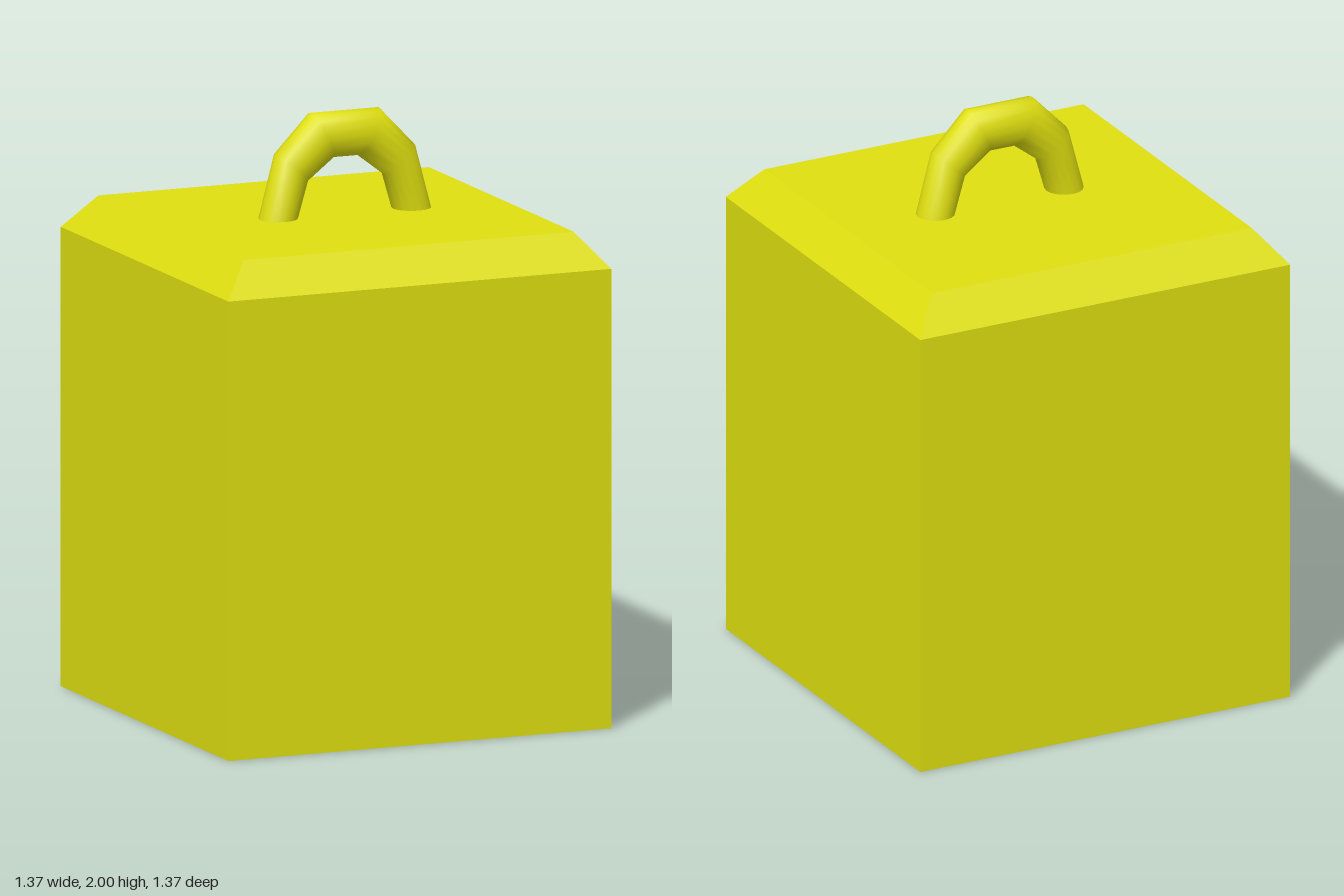
import * as THREE from 'three';

const HALF = 0.687, TOP_HALF = 0.593, SHOULDER = 1.54, TOP = 1.655;

// Four-sided block with vertical or sloping walls
function squareBlock(name, topHalf, bottomHalf, y0, y1, material, open) {
  const r = Math.SQRT2;
  const geo = new THREE.CylinderGeometry(topHalf * r, bottomHalf * r, y1 - y0, 4, 1, open);
  geo.rotateY(Math.PI / 4);
  const flat = geo.toNonIndexed();
  flat.computeVertexNormals();
  const mesh = new THREE.Mesh(flat, material);
  mesh.position.y = (y0 + y1) / 2;
  mesh.name = name;
  return mesh;
}

// Handle tube: mitred rings, each given by its outer and inner point
function handleGeometry(sides = 16) {
  const cx = 0.031, depth = 0.065;
  const half = [ // outer x, y, inner x, y
    [0.308, 1.64, 0.178, 1.64],
    [0.247, 1.87, 0.138, 1.775],
    [0.122, 2.0, 0.046, 1.845],
  ];
  const left = half.map(([ox, oy, ix, iy]) => [-ox, oy, -ix, iy]);
  const rings = [...left, ...half.slice().reverse()];
  const pos = [], index = [];
  rings.forEach(([ox, oy, ix, iy], i) => {
    for (let j = 0; j < sides; j++) {
      const a = (j / sides) * Math.PI * 2;
      const t = (1 + Math.cos(a)) / 2;
      pos.push(cx + ix + (ox - ix) * t, iy + (oy - iy) * t, Math.sin(a) * depth);
      if (i < rings.length - 1) {
        const k = (j + 1) % sides;
        const p = i * sides + j, q = i * sides + k;
        index.push(p, q, p + sides, q, q + sides, p + sides);
      }
    }
  });
  const geo = new THREE.BufferGeometry();
  geo.setAttribute('position', new THREE.Float32BufferAttribute(pos, 3));
  geo.setIndex(index);
  geo.computeVertexNormals();
  return geo;
}

export function createModel() {
  const yellow = new THREE.MeshStandardMaterial({ color: 0xdfdf10 });
  yellow.name = 'yellow';
  const group = new THREE.Group();
  group.name = 'weightBlock';

  // Body and bevelled top
  const body = new THREE.Mesh(new THREE.BoxGeometry(HALF * 2, SHOULDER, HALF * 2), yellow);
  body.position.y = SHOULDER / 2;
  body.name = 'body';
  group.add(body);
  group.add(squareBlock('bevelledTop', TOP_HALF, HALF, SHOULDER, TOP, yellow, false));

  // Handle
  const handle = new THREE.Mesh(handleGeometry(), yellow);
  handle.name = 'handle';
  group.add(handle);
  return group;
}
